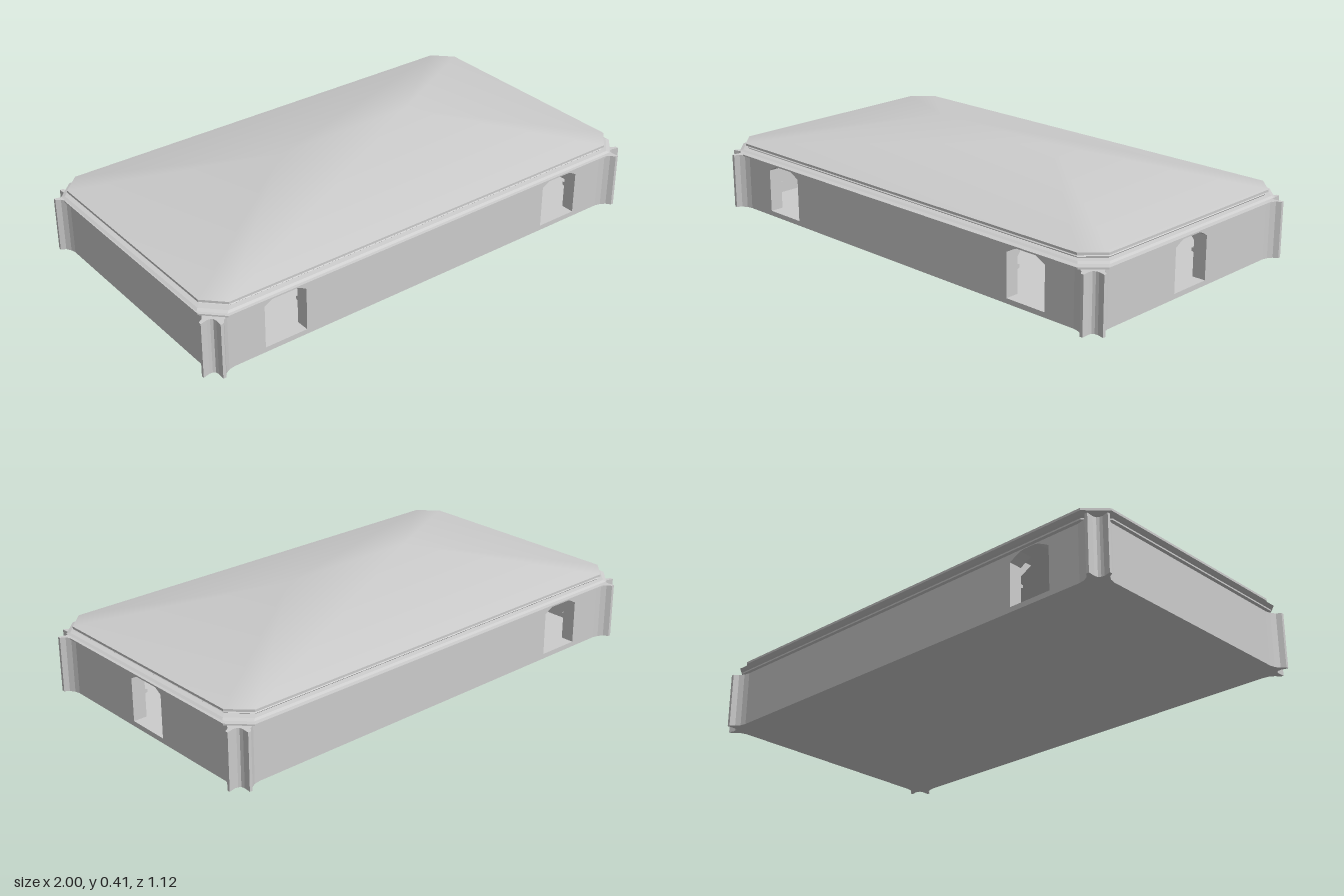
import * as THREE from 'three';
import { mergeVertices } from 'three/addons/utils/BufferGeometryUtils.js';

const WALL_TOP = 0.223, FLOOR = 0.02, THICK = 0.055;
const material = new THREE.MeshStandardMaterial({ color: 0xcccccc });
const flat = new THREE.MeshStandardMaterial({ color: 0xcccccc, flatShading: true });

function add(parent, name, geometry, mat = material) {
  const mesh = new THREE.Mesh(geometry, mat);
  mesh.name = name;
  parent.add(mesh);
  return mesh;
}

const shapeOf = (pts) => new THREE.Shape(pts.map(([x, y]) => new THREE.Vector2(x, y)));
const extrude = (shape, depth) => new THREE.ExtrudeGeometry(shape, { depth, bevelEnabled: false, curveSegments: 6 });

// Rectangle with cut corners, in plan (x, z)
function plan(hx, hz, c) {
  return [[hx, -hz + c], [hx, hz - c], [hx - c, hz], [-hx + c, hz],
    [-hx, hz - c], [-hx, -hz + c], [-hx + c, -hz], [hx - c, -hz]];
}

// Skin over rings of eight [x, y, z] points, listed from bottom to top
function loft(rings) {
  const index = [], n = 8;
  for (let r = 0; r < rings.length - 1; r++) {
    for (let i = 0; i < n; i++) {
      const a = r * n + i, b = r * n + (i + 1) % n;
      index.push(a, a + n, b, b, a + n, b + n);
    }
  }
  const geometry = new THREE.BufferGeometry();
  geometry.setAttribute('position', new THREE.Float32BufferAttribute(rings.flat(2), 3));
  geometry.setIndex(index);
  return geometry;
}

const ring = (offset, y, c = 0.075) => plan(0.97 + offset, 0.53 + offset, c).map(([x, z]) => [x, y, z]);

// Horizontal slab cut from a plan
function slab(pts, y0, y1) {
  const geometry = extrude(shapeOf(pts.map(([x, z]) => [x, -z])), y1 - y0);
  return geometry.rotateX(-Math.PI / 2).translate(0, y0, 0);
}

// Doorway with a faceted arch, centred on u
function doorway(u) {
  const side = [[0.089, FLOOR], [0.089, 0.192], [0.065, 0.206], [0.04, 0.217], [0.025, 0.22]];
  const pts = [...side, ...side.map(([x, y]) => [-x, y]).reverse()];
  return new THREE.Path(pts.map(([x, y]) => new THREE.Vector2(u + x, y)));
}

// One wall with its doorways, inner rail and ceiling cove
function wall(name, half, inner, doors, roomHalf) {
  const group = new THREE.Group();
  group.name = name;
  const shape = shapeOf([[-half, 0], [half, 0], [half, WALL_TOP], [-half, WALL_TOP]]);
  shape.holes = doors.map(doorway);
  add(group, 'wallPanel', extrude(shape, THICK));

  const trims = {
    wallRail: [[0, 0.113], [0.01, 0.117], [0.01, 0.128], [0, 0.131]],
    ceilingCove: [[0, 0.16], [0.055, WALL_TOP], [0, WALL_TOP]],
  };
  // Trims run between the doorways
  const stops = [-roomHalf, ...doors.flatMap((u) => [u - 0.089, u + 0.089]), roomHalf];
  for (const [trim, profile] of Object.entries(trims)) {
    for (let i = 0; i < stops.length; i += 2) {
      const geometry = extrude(shapeOf(profile), stops[i + 1] - stops[i]);
      add(group, trim, geometry.rotateY(Math.PI / 2).translate(stops[i], 0, 0));
    }
  }
  group.position.z = inner;
  const pivot = new THREE.Group();
  pivot.name = name + 'Side';
  pivot.add(group);
  return pivot;
}

// Corner pier with two flared fins and a notch between them
function cornerPier(sx, sz) {
  const pts = [[0.91, 0.45], [0.88, 0.47], [0.88, 0.525], [0.905, 0.53], [0.925, 0.542], [0.938, 0.56],
    [0.95, 0.56], [0.948, 0.53], [0.951, 0.516], [0.96, 0.51], [0.972, 0.508], [1, 0.515],
    [1, 0.503], [0.982, 0.492], [0.97, 0.472], [0.965, 0.45]];
  return slab(pts.map(([x, z]) => [x * sx, z * sz]), 0, WALL_TOP);
}

export function createModel() {
  const model = new THREE.Group();
  model.name = 'pavilion';

  add(model, 'floor', slab(plan(0.955, 0.515, 0.05), 0, FLOOR));

  // Four walls: two doors in front, one behind, one on the +x end
  const walls = [
    ['frontWall', 0.88, 0.47, [-0.66, 0.66], 0.91, 0],
    ['backWall', 0.88, 0.47, [0.66], 0.91, Math.PI],
    ['leftWall', 0.45, 0.91, [0], 0.47, Math.PI / 2],
    ['rightWall', 0.45, 0.91, [], 0.47, -Math.PI / 2],
  ];
  for (const [name, half, inner, doors, roomHalf, turn] of walls) {
    const side = wall(name, half, inner, doors, roomHalf);
    side.rotation.y = turn;
    model.add(side);
  }
  for (const sx of [-1, 1]) {
    for (const sz of [-1, 1]) add(model, 'cornerPier', cornerPier(sx, sz));
  }

  // Ceiling and stepped cornice
  add(model, 'ceiling', slab(plan(0.95, 0.51, 0.07), WALL_TOP, 0.23));
  const steps = [[-0.02, WALL_TOP], [0.01, WALL_TOP], [0.01, 0.229], [-0.015, 0.231], [-0.015, 0.24],
    [0.008, 0.242], [0.018, 0.246], [0.008, 0.251], [-0.012, 0.253], [-0.005, 0.259],
    [-0.012, 0.264], [0, 0.267], [0, 0.276]];
  add(model, 'cornice', loft(steps.map(([offset, y]) => ring(offset, y))), flat).geometry.computeVertexNormals();

  // Hipped roof rising to a short ridge
  const eaves = ring(0, 0.276);
  const ridge = eaves.map(([x]) => [0.3 * Math.sign(x), 0.41, 0]);
  const roof = mergeVertices(loft([eaves, ridge]));
  roof.computeVertexNormals();
  add(model, 'roof', roof);

  return model;
}
